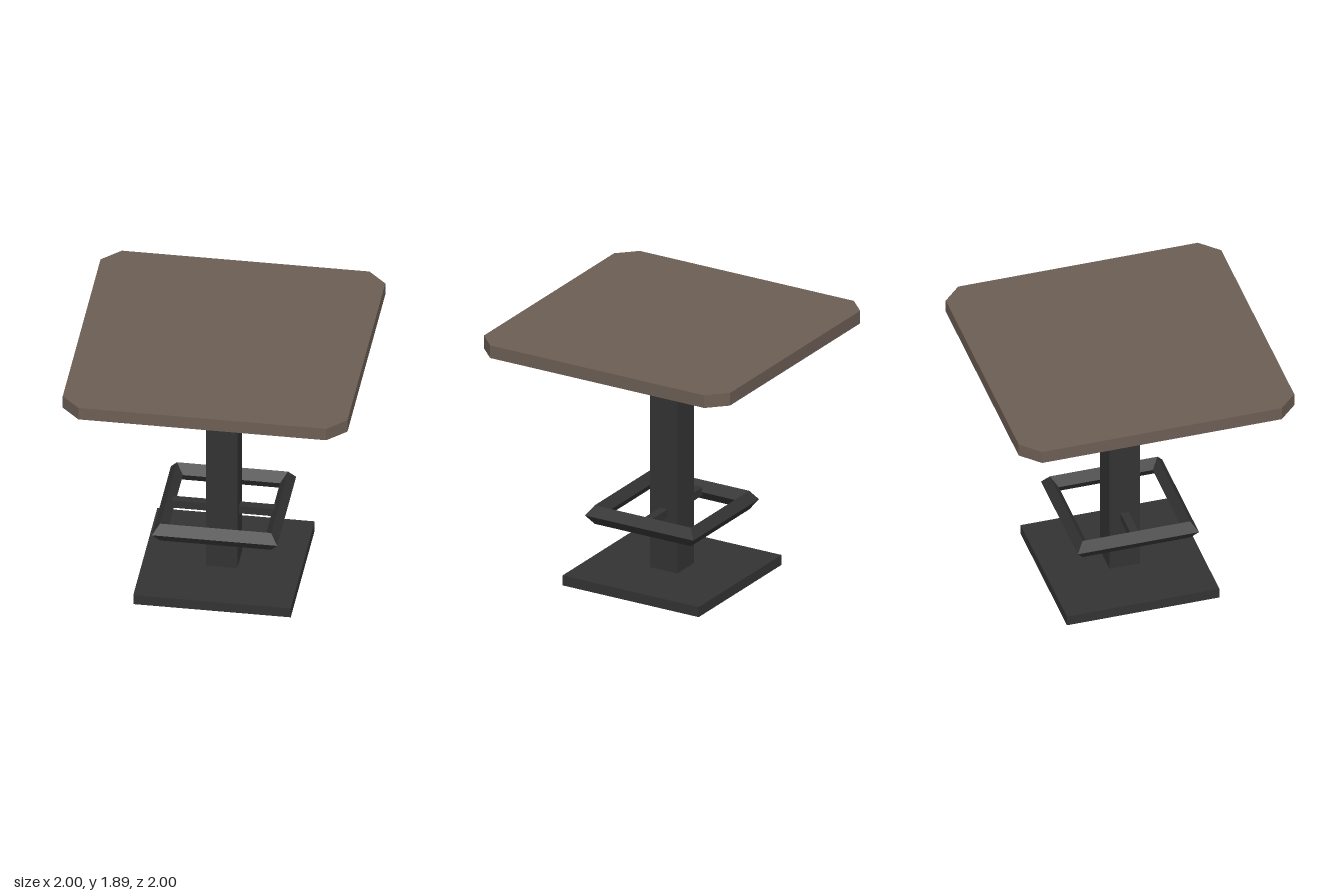
import * as THREE from 'three';

export function createModel() {
  const group = new THREE.Group();
  const wood = new THREE.MeshStandardMaterial({ color: 0x6c5e54 });
  wood.name = 'brownWood';
  const metal = new THREE.MeshStandardMaterial({ color: 0x333333 });
  metal.name = 'darkMetal';

  const add = (name, geometry, material, y) => {
    // Non-indexed faces give crisp flat normals
    const flat = geometry.index ? geometry.toNonIndexed() : geometry;
    flat.computeVertexNormals();
    const mesh = new THREE.Mesh(flat, material);
    mesh.name = name;
    mesh.position.y = y;
    group.add(mesh);
    return mesh;
  };

  // Square floor plate and column
  add('basePlate', new THREE.BoxGeometry(1.106, 0.075, 1.106), metal, 0.0375);
  add('column', new THREE.BoxGeometry(0.22, 1.66, 0.22), metal, 0.9);

  // Flared bracket under the top: a four-sided frustum
  const flare = new THREE.CylinderGeometry(0.137 * Math.SQRT2, 0.11 * Math.SQRT2, 0.075, 4);
  flare.rotateY(Math.PI / 4);
  add('columnFlare', flare, metal, 1.7625);

  // Square foot rail with a diamond section
  const rail = new THREE.TorusGeometry(0.552, 0.07, 4, 4);
  rail.rotateX(Math.PI / 2);
  rail.rotateY(Math.PI / 4);
  add('footRail', rail, metal, 0.51);

  // Arms joining the rail to the column, left and right
  for (const side of [1, -1]) {
    const arm = add(side > 0 ? 'leftRailArm' : 'rightRailArm',
      new THREE.BoxGeometry(0.28, 0.06, 0.06), metal, 0.51);
    arm.position.x = side * 0.24;
  }

  // Table top with clipped corners
  const h = 1, c = 0.87;
  const outline = new THREE.Shape([
    [c, -h], [h, -c], [h, c], [c, h], [-c, h], [-h, c], [-h, -c], [-c, -h],
  ].map(([x, y]) => new THREE.Vector2(x, y)));
  const top = new THREE.ExtrudeGeometry(outline, { depth: 0.095, bevelEnabled: false });
  top.rotateX(-Math.PI / 2);
  add('tableTop', top, wood, 1.8);

  return group;
}
